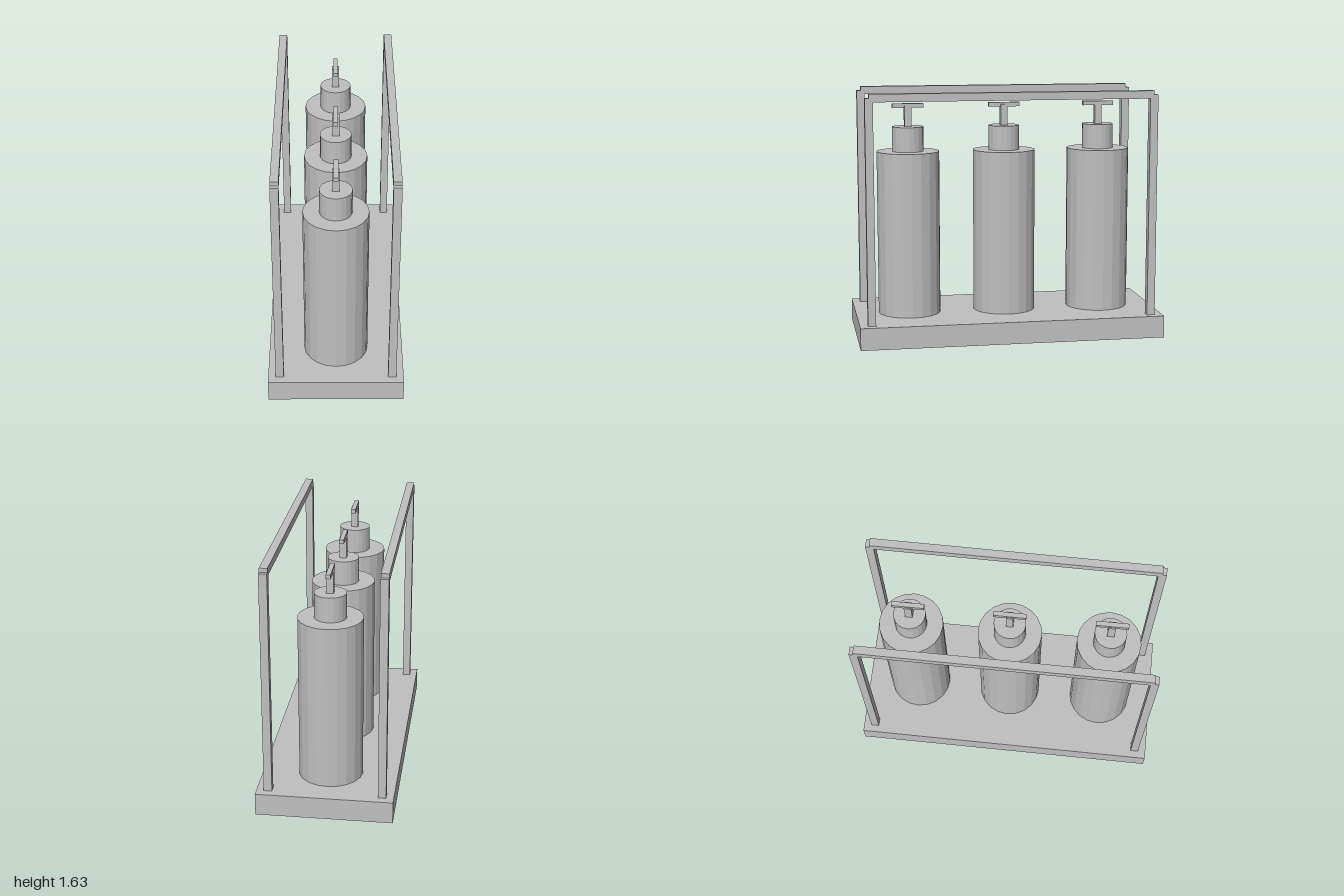
import * as THREE from 'three';

export function createModel() {
  const model = new THREE.Group();
  const grey = new THREE.MeshStandardMaterial({ color: 0xc0c0c0 });
  grey.name = 'grey';

  const add = (parent, name, geometry, x, y, z) => {
    const mesh = new THREE.Mesh(geometry, grey);
    mesh.name = name;
    mesh.position.set(x, y, z);
    parent.add(mesh);
  };
  // Box given by its width, depth and bottom and top heights
  const box = (parent, name, w, d, y0, y1, x = 0, z = 0) =>
    add(parent, name, new THREE.BoxGeometry(w, y1 - y0, d), x, (y0 + y1) / 2, z);
  // Faceted upright cylinder
  const drum = (parent, name, r, y0, y1) => {
    const geometry = new THREE.CylinderGeometry(r, r, y1 - y0, 20).toNonIndexed();
    geometry.computeVertexNormals();
    add(parent, name, geometry, 0, (y0 + y1) / 2, 0);
  };

  // Base slab
  box(model, 'base', 0.87, 2, 0, 0.145);

  // Three bottles with neck, valve stem and T-handle
  for (const z of [-0.64, 0, 0.64]) {
    const bottle = new THREE.Group();
    bottle.name = 'bottle';
    bottle.position.z = z;
    drum(bottle, 'bottleBody', 0.207, 0.145, 1.225);
    drum(bottle, 'bottleNeck', 0.103, 1.225, 1.387);
    box(bottle, 'valveStem', 0.046, 0.046, 1.387, 1.525);
    box(bottle, 'valveHandle', 0.03, 0.206, 1.51, 1.538);
    model.add(bottle);
  }

  // Side frames: two posts and a top rail each
  for (const side of [-1, 1]) {
    const frame = new THREE.Group();
    frame.name = side > 0 ? 'leftFrame' : 'rightFrame';
    frame.position.x = side * 0.361;
    for (const end of [-1, 1]) box(frame, 'post', 0.052, 0.052, 0.145, 1.603, 0, end * 0.922);
    box(frame, 'topRail', 0.052, 1.844, 1.578, 1.629);
    model.add(frame);
  }
  return model;
}
